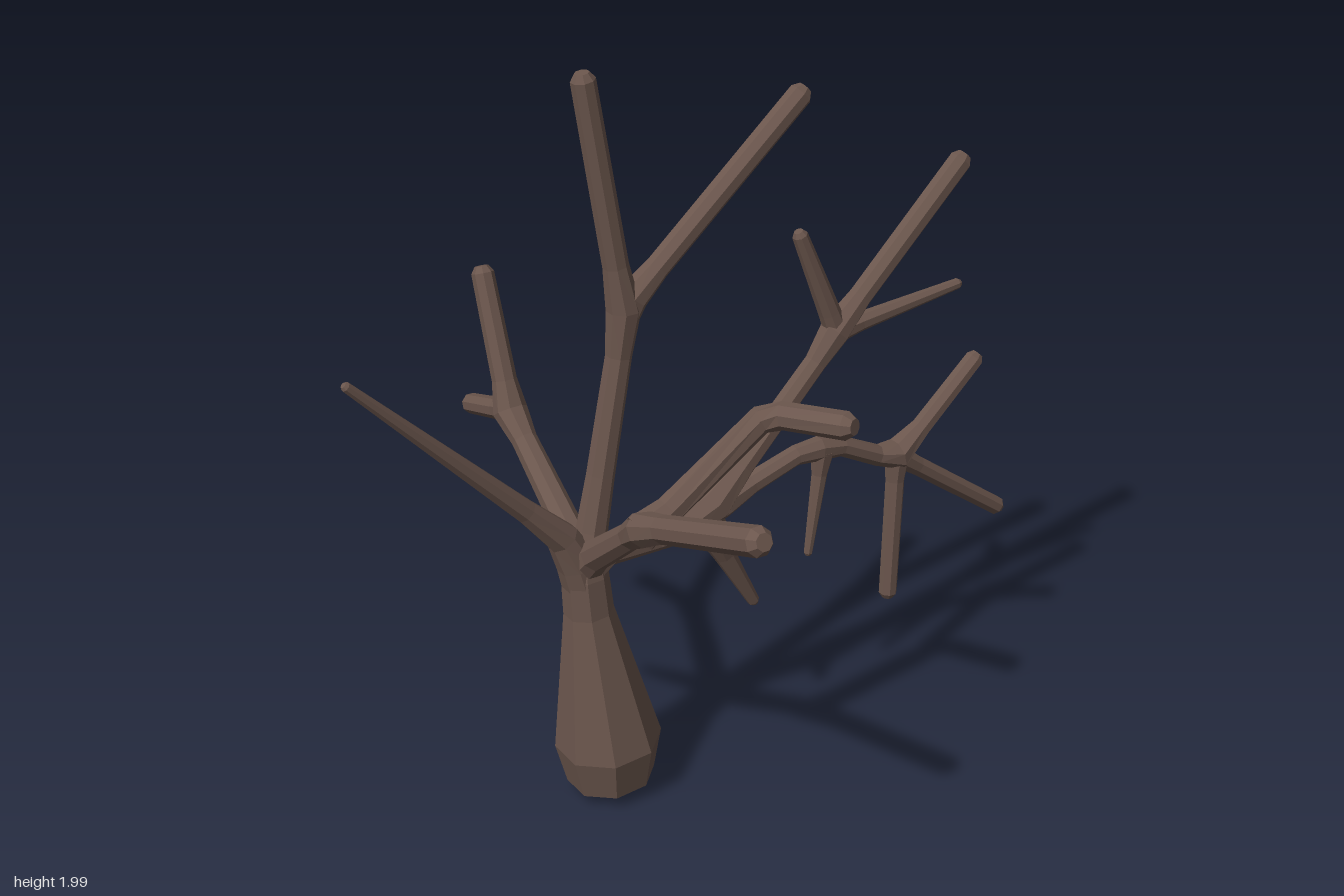
import * as THREE from 'three';

const SIDES = 8;
const Z = -0.1; // depth of the main fan of branches
const X = -0.38; // plane of the front and back branches

// Tapered faceted limb through points [x, y, z, radius]; ref sets the ring orientation
function limb(name, points, ref, material, roundTip = true) {
  const pts = points.map((p) => new THREE.Vector3(p[0], p[1], p[2]));
  const radii = points.map((p) => p[3]);
  const n = pts.length;
  const tangents = pts.map((p, i) => {
    const t = new THREE.Vector3();
    if (i > 0) t.add(p.clone().sub(pts[i - 1]).normalize());
    if (i < n - 1) t.add(pts[i + 1].clone().sub(p).normalize());
    return t.normalize();
  });
  if (roundTip) {
    // bevelled end
    const t = tangents[n - 1], end = pts[n - 1].clone(), r = radii[n - 1];
    pts[n - 1] = end.clone().addScaledVector(t, -r * 0.6);
    pts.push(end);
    radii.push(r * 0.6);
    tangents.push(t);
  }
  const pos = [], index = [];
  pts.forEach((p, i) => {
    const u = ref.clone().addScaledVector(tangents[i], -ref.dot(tangents[i])).normalize();
    const v = tangents[i].clone().cross(u);
    for (let k = 0; k < SIDES; k++) {
      const a = ((k + 0.5) / SIDES) * Math.PI * 2;
      const q = p.clone().addScaledVector(u, Math.cos(a) * radii[i]).addScaledVector(v, Math.sin(a) * radii[i]);
      pos.push(q.x, q.y, q.z);
    }
  });
  for (let i = 0; i < pts.length - 1; i++) {
    for (let k = 0; k < SIDES; k++) {
      const a = i * SIDES + k, b = i * SIDES + ((k + 1) % SIDES);
      index.push(a, b, a + SIDES, b, b + SIDES, a + SIDES);
    }
  }
  // end caps
  const last = (pts.length - 1) * SIDES;
  for (let k = 1; k < SIDES - 1; k++) {
    index.push(0, k + 1, k, last, last + k, last + k + 1);
  }
  const geo = new THREE.BufferGeometry();
  geo.setAttribute('position', new THREE.Float32BufferAttribute(pos, 3));
  geo.setIndex(index);
  const flat = geo.toNonIndexed();
  flat.computeVertexNormals();
  const mesh = new THREE.Mesh(flat, material);
  mesh.name = name;
  return mesh;
}

export function createModel() {
  const tree = new THREE.Group();
  tree.name = 'bareTree';
  const bark = new THREE.MeshStandardMaterial({ color: 0x6b564d, flatShading: true });
  const axisX = new THREE.Vector3(1, 0, 0);
  const axisY = new THREE.Vector3(0, 1, 0);
  const axisZ = new THREE.Vector3(0, 0, 1);

  // limbs in the side-to-side plane: [x, y, radius]
  const side = (name, pts, round) =>
    tree.add(limb(name, pts.map(([x, y, r]) => [x, y, Z, r]), axisZ, bark, round));
  // limbs in the front-to-back plane: [y, z, radius]
  const deep = (name, pts) =>
    tree.add(limb(name, pts.map(([y, z, r]) => [X, y, z, r]), axisX, bark));

  side('trunk', [[-0.315, 0.005, 0.004], [-0.32, 0.045, 0.118], [-0.325, 0.16, 0.143],
    [-0.372, 0.57, 0.066], [-0.38, 0.68, 0.062], [-0.38, 0.77, 0.045]], false);

  // thin left branch
  side('thinBranch', [[-0.373, 0.62, 0.06], [-0.4, 0.72, 0.056], [-0.44, 0.8, 0.044],
    [-0.54, 0.905, 0.031], [-0.993, 1.365, 0.013]]);

  // tall branch with its fork
  side('tallBranch', [[-0.375, 0.69, 0.055], [-0.355, 0.8, 0.042], [-0.325, 0.95, 0.037],
    [-0.265, 1.26, 0.034], [-0.247, 1.38, 0.045], [-0.267, 1.5, 0.033], [-0.345, 1.995, 0.031]]);
  side('tallFork', [[-0.255, 1.34, 0.036], [-0.225, 1.405, 0.042], [-0.15, 1.468, 0.032], [0.285, 1.85, 0.032]]);

  // main right branch rising to a fork
  side('mainBranch', [[-0.38, 0.7, 0.06], [-0.31, 0.73, 0.045], [-0.17, 0.722, 0.038],
    [-0.07, 0.735, 0.05], [0.01, 0.77, 0.054], [0.1, 0.855, 0.034], [0.33, 1.095, 0.031],
    [0.39, 1.17, 0.043], [0.47, 1.25, 0.032], [0.8, 1.58, 0.032]]);
  side('upperTwig', [[0.4, 1.16, 0.034], [0.372, 1.23, 0.03], [0.27, 1.475, 0.021]]);
  side('sideTwig', [[0.38, 1.165, 0.034], [0.47, 1.178, 0.026], [0.805, 1.215, 0.015]]);
  side('lowTwig', [[-0.03, 0.76, 0.05], [0.01, 0.68, 0.044], [0.045, 0.605, 0.03], [0.143, 0.425, 0.017]]);

  // drooping arch and its three ends
  side('archBranch', [[-0.06, 0.725, 0.04], [0.04, 0.765, 0.042], [0.13, 0.795, 0.03],
    [0.27, 0.838, 0.028], [0.345, 0.838, 0.034], [0.42, 0.825, 0.028], [0.54, 0.765, 0.03],
    [0.61, 0.748, 0.046], [0.69, 0.81, 0.029], [0.88, 0.985, 0.027]]);
  side('archTwig', [[0.358, 0.83, 0.034], [0.35, 0.76, 0.022], [0.316, 0.52, 0.012]]);
  side('hangingBranch', [[0.612, 0.76, 0.038], [0.607, 0.67, 0.027], [0.595, 0.3, 0.026]]);
  side('outerBranch', [[0.59, 0.76, 0.036], [0.68, 0.695, 0.028], [0.99, 0.473, 0.027]]);

  // front branch with a bent offshoot
  deep('frontBranch', [[0.7, -0.1, 0.05], [0.76, -0.04, 0.042], [0.9, 0.14, 0.036],
    [0.945, 0.2, 0.047], [0.985, 0.29, 0.036], [1.15, 0.72, 0.037]]);
  tree.add(limb('bentBranch', [[-0.39, 0.935, 0.2, 0.05], [-0.31, 0.975, 0.2, 0.038],
    [-0.04, 1.145, 0.195, 0.036], [0.0, 1.16, 0.23, 0.036], [0.08, 1.185, 0.42, 0.036]], axisY, bark));

  // back branch with its fork
  deep('backBranch', [[0.7, -0.1, 0.05], [0.76, -0.16, 0.04], [0.935, -0.4, 0.034],
    [0.99, -0.475, 0.046], [1.07, -0.5, 0.033], [1.355, -0.6, 0.03]]);
  deep('backFork', [[1.0, -0.455, 0.036], [0.97, -0.54, 0.03], [0.915, -0.72, 0.028]]);

  return tree;
}
